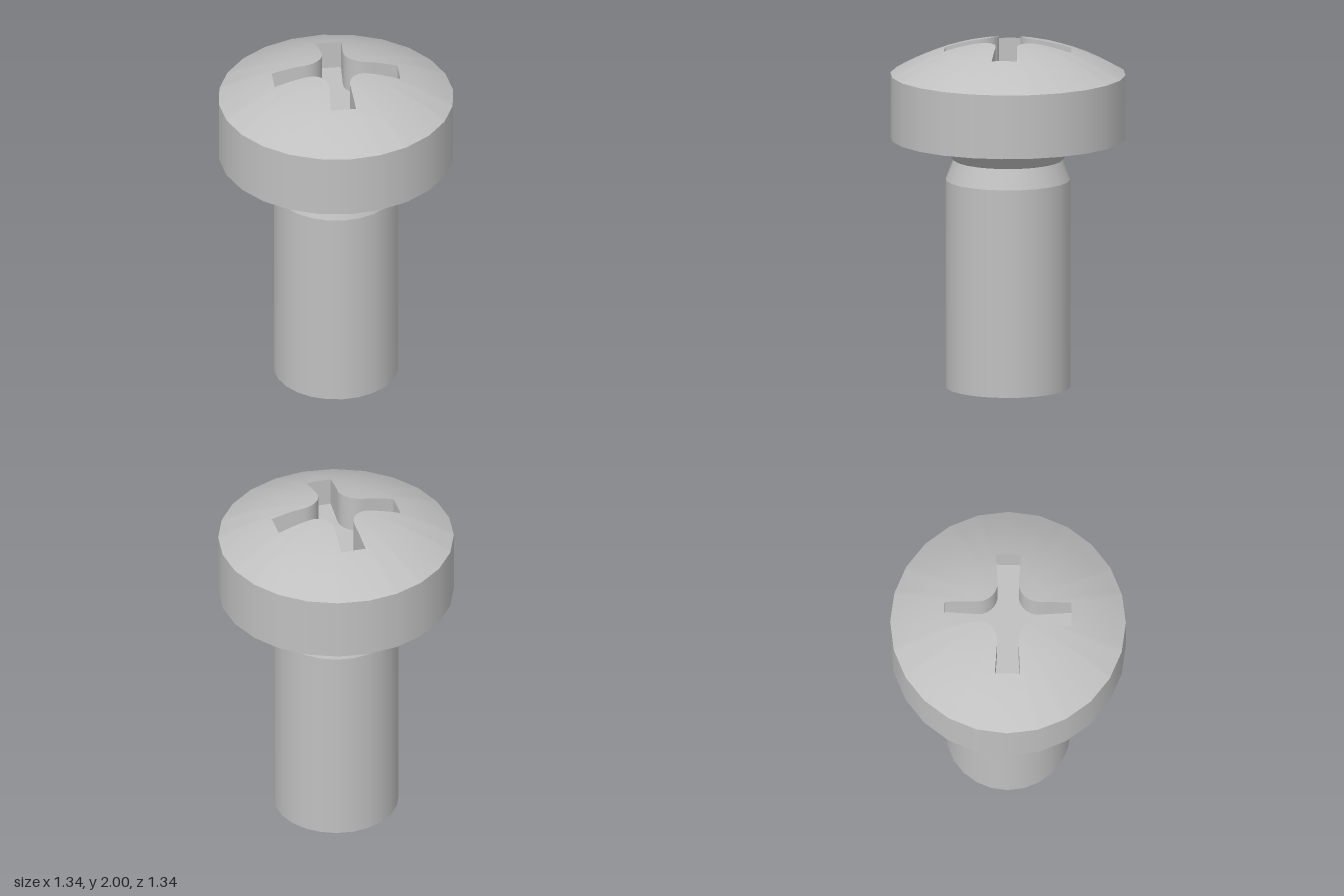
import * as THREE from 'three';
import { toCreasedNormals } from 'three/addons/utils/BufferGeometryUtils.js';

const SIDES = 24, HEAD_R = 0.67, FLOOR_Y = 1.78;
const DEG = Math.PI / 180;

// One eighth of the cross recess: arm end, flared arm side, rounded inner corner
const octant = [[0.36, 0], [0.36, 0.072], [0.17, 0.06]];
for (let i = 1; i <= 4; i++) {
  const a = (-90 - 11.25 * i) * DEG;
  octant.push([0.17 + 0.11 * Math.cos(a), 0.17 + 0.11 * Math.sin(a)]);
}

// Directions shared by the recess outline and the head rim
function sweepAngles() {
  const eighth = octant.map(([x, z]) => Math.atan2(z, x) / DEG).concat([13, 15, 17, 30]);
  eighth[octant.length - 1] = 45;
  eighth.sort((a, b) => a - b);
  const quarter = [...eighth, ...eighth.slice(1, -1).reverse().map((a) => 90 - a)];
  return [0, 90, 180, 270].flatMap((q) => quarter.map((a) => q + a));
}

// Distance from the axis to the recess outline in a direction (degrees)
function recessRadius(deg) {
  let m = deg % 90;
  if (m > 45) m = 90 - m;
  const c = Math.cos(m * DEG), s = Math.sin(m * DEG);
  for (let i = 0; i < octant.length - 1; i++) {
    const [px, pz] = octant[i], [qx, qz] = octant[i + 1];
    if (m <= Math.atan2(qz, qx) / DEG + 1e-6) {
      const dx = qx - px, dz = qz - pz;
      return (px * dz - pz * dx) / (c * dz - s * dx);
    }
  }
  return Math.hypot(...octant[octant.length - 1]);
}

// Distance to the faceted rim of the head, relative to its corner radius
function rimFactor(deg) {
  const half = 180 / SIDES;
  return Math.cos(half * DEG) / Math.cos(((deg % (2 * half)) - half) * DEG);
}

// Closed surface through rows of points
function loft(rows) {
  const n = rows[0].length, index = [];
  for (let r = 0; r < rows.length - 1; r++) {
    for (let i = 0; i < n; i++) {
      const a = r * n + i, b = r * n + (i + 1) % n;
      index.push(a, b, a + n, b, b + n, a + n);
    }
  }
  const g = new THREE.BufferGeometry();
  g.setAttribute('position', new THREE.Float32BufferAttribute(rows.flat(2), 3));
  g.setIndex(index);
  g.computeVertexNormals();
  return g;
}

export function createModel() {
  const group = new THREE.Group();
  const steel = new THREE.MeshStandardMaterial({ color: 0xc0c0c0 });
  steel.name = 'steel';
  const add = (name, geometry) => {
    const mesh = new THREE.Mesh(geometry, steel);
    mesh.name = name;
    group.add(mesh);
  };

  // Turned bands from the bottom up, each with crisp ends
  const profile = [[0, 0], [0.355, 0], [0.355, 1.2], [0.31, 1.315], [0.43, 1.44], [HEAD_R, 1.44], [HEAD_R, 1.808]];
  const names = ['shankEnd', 'shank', 'shankChamfer', 'neckCone', 'headUnderside', 'headSide'];
  names.forEach((name, i) => {
    const pts = [profile[i], profile[i + 1]].map(([x, y]) => new THREE.Vector2(x, y));
    add(name, new THREE.LatheGeometry(pts, SIDES));
  });

  // Domed top, running from the recess edge out to the rim
  const angles = sweepAngles();
  const domePoint = (deg, r) => {
    const y = 2.008 - 0.2 * (r / (HEAD_R * rimFactor(deg))) ** 2;
    return [r * Math.cos(deg * DEG), y, r * Math.sin(deg * DEG)];
  };
  const rings = [];
  for (let k = 0; k <= 6; k++) {
    rings.push(angles.map((deg) => {
      const inner = recessRadius(deg);
      return domePoint(deg, inner + (HEAD_R * rimFactor(deg) - inner) * k / 6);
    }));
  }
  add('headDome', loft(rings));

  // Cross recess: upright walls and flat floor
  const edge = rings[0];
  const foot = edge.map(([x, , z]) => [x, FLOOR_Y, z]);
  add('recessWalls', toCreasedNormals(loft([foot, edge]), 0.5));

  const floor = new THREE.ShapeGeometry(new THREE.Shape(edge.map(([x, , z]) => new THREE.Vector2(x, -z))));
  floor.rotateX(-Math.PI / 2).translate(0, FLOOR_Y, 0);
  add('recessFloor', floor);

  return group;
}
